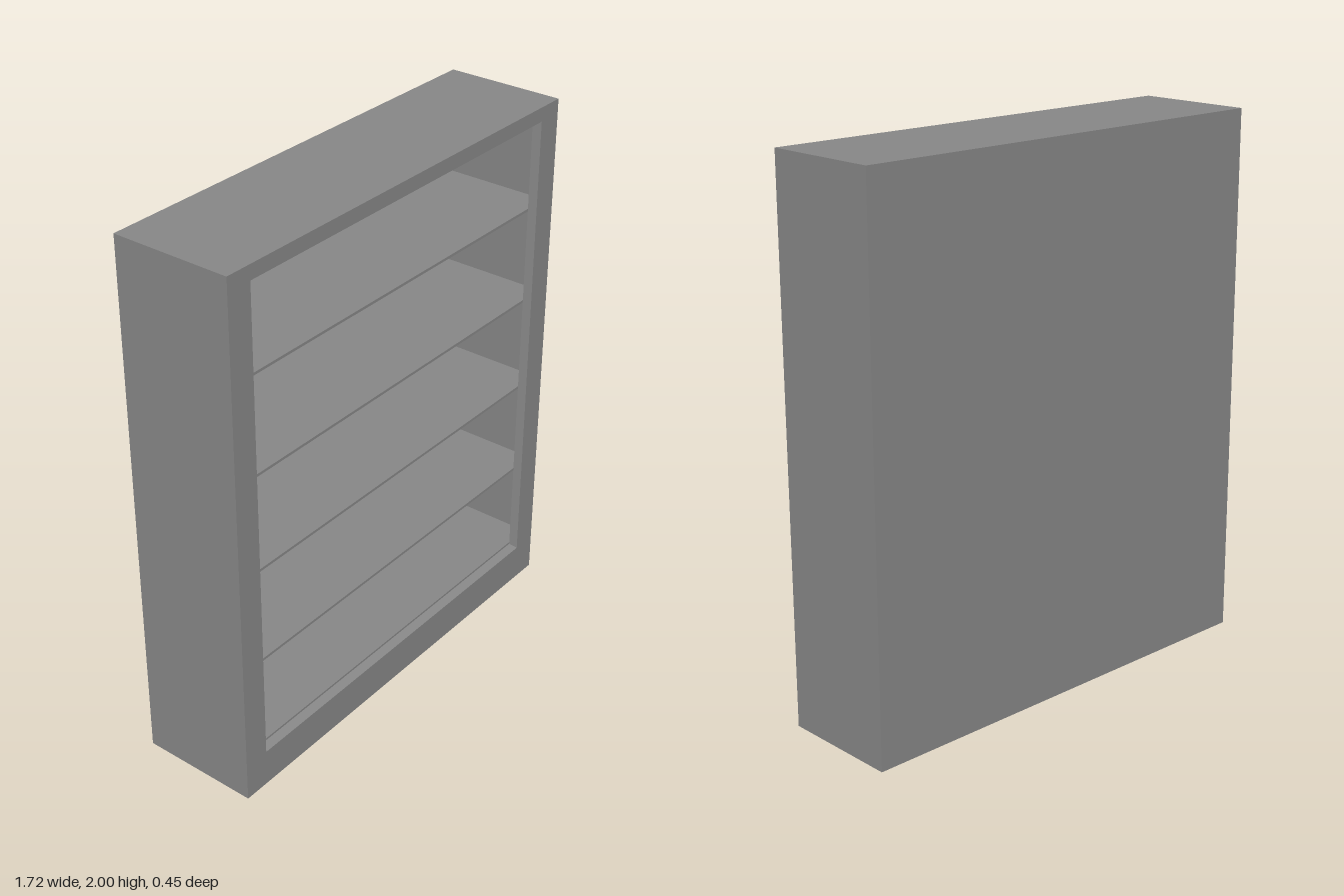
import * as THREE from 'three';

const W = 0.86, H = 2, D = 0.225, T = 0.008; // half width, height, half depth, panel thickness
const FRAME = 0.03; // face frame depth

export function createModel() {
  const model = new THREE.Group();
  const material = new THREE.MeshStandardMaterial({ color: 0x868686, flatShading: true });

  const add = (name, geometry) => {
    const mesh = new THREE.Mesh(geometry, material);
    mesh.name = name;
    model.add(mesh);
    return mesh;
  };
  const box = (name, w, h, d, x, y, z) =>
    add(name, new THREE.BoxGeometry(w, h, d)).position.set(x, y, z);

  // Thin cabinet shell behind the face frame
  const depth = 2 * D - FRAME, zMid = -FRAME / 2;
  for (const [side, s] of [['left', 1], ['right', -1]])
    box(side + 'Side', T, H, depth, s * (W - T / 2), H / 2, zMid);
  box('topPanel', 2 * (W - T), T, depth, 0, H - T / 2, zMid);
  box('bottomPanel', 2 * (W - T), T, depth, 0, T / 2, zMid);
  box('backPanel', 2 * (W - T), H - 2 * T, T, 0, H / 2, -D + T / 2);

  // Face frame: rectangular loops joined in a ring, the opening bevelled inwards
  const loop = (x, y0, y1, z) => [[-x, y0, z], [x, y0, z], [x, y1, z], [-x, y1, z]];
  const loops = [
    loop(W, 0, H, D),
    loop(0.76, 0.141, 1.947, D),
    loop(0.75, 0.153, 1.945, D - FRAME),
    loop(W, 0, H, D - FRAME),
  ];
  const index = [];
  for (let i = 0; i < 4; i++) {
    for (let j = 0; j < 4; j++) {
      const a = i * 4 + j, b = i * 4 + (j + 1) % 4;
      const n = ((i + 1) % 4) * 4;
      const c = n + (j + 1) % 4, d = n + j;
      index.push(a, b, c, a, c, d);
    }
  }
  const ring = new THREE.BufferGeometry();
  ring.setAttribute('position', new THREE.Float32BufferAttribute(loops.flat(2), 3));
  ring.setIndex(index);
  const frame = ring.toNonIndexed();
  frame.computeVertexNormals();
  add('faceFrame', frame);

  // Evenly spaced full-width shelves, the lowest one level with the opening
  for (const top of [0.161, 0.513, 0.881, 1.247, 1.613])
    box('shelf', 2 * (W - T), 0.01, depth - T, 0, top - 0.005, zMid + T / 2);

  return model;
}
